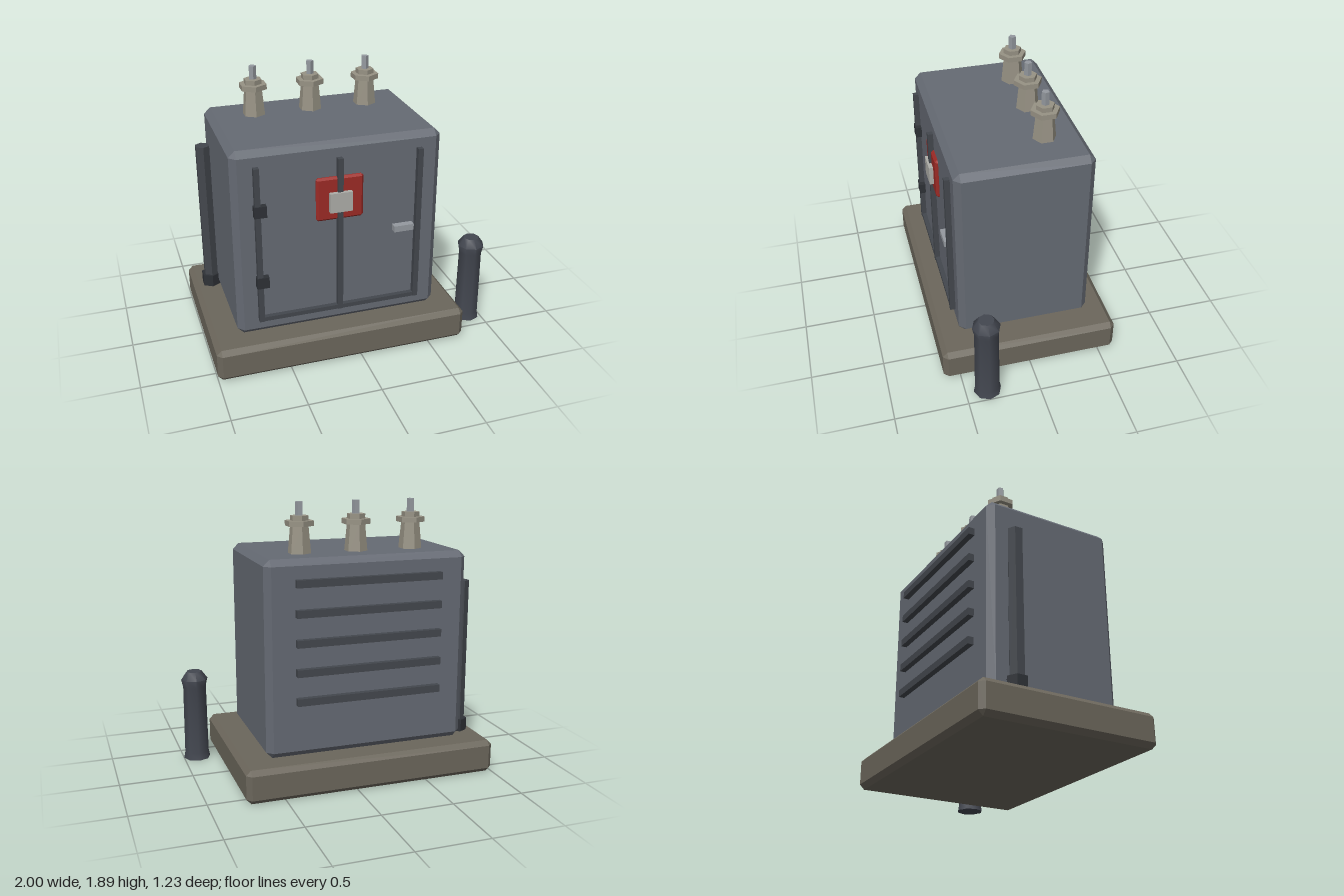
import * as THREE from 'three';
import { ConvexGeometry } from 'three/addons/geometries/ConvexGeometry.js';
import { toCreasedNormals } from 'three/addons/utils/BufferGeometryUtils.js';

const paint = (color) => new THREE.MeshStandardMaterial({ color });
const steel = paint(0x656a73);
const concrete = paint(0x6b665b);
const trim = paint(0x43474d);
const iron = paint(0x2e3136);
const red = paint(0x9c2a25);
const pale = paint(0xadada8);
const metal = paint(0x94999f);
const ceramic = paint(0x979284);
const darkPaint = paint(0x434750);

// Box given by its min and max corners
function box(name, min, max, material) {
  const size = max.map((v, i) => v - min[i]);
  const mesh = new THREE.Mesh(new THREE.BoxGeometry(...size), material);
  mesh.position.set(...max.map((v, i) => (v + min[i]) / 2));
  mesh.name = name;
  return mesh;
}

// Box with every edge cut by a flat chamfer c
function chamferBox(name, min, max, c, material) {
  const mid = max.map((v, i) => (v + min[i]) / 2);
  const half = max.map((v, i) => (v - min[i]) / 2);
  const points = [];
  for (const sx of [-1, 1]) for (const sy of [-1, 1]) for (const sz of [-1, 1]) {
    for (let face = 0; face < 3; face++) {
      const p = half.map((h, i) => (i === face ? h : h - c));
      points.push(new THREE.Vector3(sx * p[0], sy * p[1], sz * p[2]));
    }
  }
  const mesh = new THREE.Mesh(new ConvexGeometry(points), material);
  mesh.position.set(...mid);
  mesh.name = name;
  return mesh;
}

// Upright prism or cone frustum from y0 to y1
function post(name, rTop, rBottom, y0, y1, sides, material) {
  const geo = toCreasedNormals(new THREE.CylinderGeometry(rTop, rBottom, y1 - y0, sides), 0.9);
  const mesh = new THREE.Mesh(geo, material);
  mesh.position.y = (y0 + y1) / 2;
  mesh.name = name;
  return mesh;
}

function createBushing(x) {
  const g = new THREE.Group();
  g.name = 'bushing';
  g.add(
    post('insulatorBody', 0.062, 0.08, 1.54, 1.73, 6, ceramic),
    post('insulatorFlange', 0.097, 0.097, 1.73, 1.765, 6, ceramic),
    post('insulatorCollar', 0.062, 0.062, 1.765, 1.797, 6, ceramic),
    post('terminalRod', 0.026, 0.026, 1.79, 1.887, 5, metal),
  );
  g.position.set(x, 0, -0.2);
  return g;
}

function createBollard() {
  const profile = [[0, 0], [0.095, 0], [0.086, 0.05], [0.082, 0.54], [0.095, 0.595], [0.054, 0.652], [0, 0.652]]
    .map(([r, y]) => new THREE.Vector2(r, y));
  const geo = toCreasedNormals(new THREE.LatheGeometry(profile, 8), 0.85);
  const mesh = new THREE.Mesh(geo, darkPaint);
  mesh.name = 'bollard';
  mesh.position.set(0.905, 0, 0.35);
  return mesh;
}

export function createModel() {
  const model = new THREE.Group();
  model.name = 'transformerCabinet';

  // Base slab and cabinet
  model.add(
    chamferBox('plinth', [-1, 0, -0.615], [0.76, 0.23, 0.615], 0.033, concrete),
    chamferBox('cabinet', [-0.823, 0.23, -0.46], [0.582, 1.55, 0.46], 0.042, steel),
  );

  // Door frame strips on the front
  for (const x of [-0.667, -0.122, 0.423]) {
    model.add(box('doorStrip', [x - 0.018, 0.34, 0.45], [x + 0.018, 1.445, 0.497], trim));
  }
  model.add(box('doorSill', [-0.667, 0.34, 0.45], [0.423, 0.37, 0.493], trim));

  // Hinges, handle and warning plate
  for (const y of [0.637, 1.15]) {
    model.add(box('hinge', [-0.692, y - 0.039, 0.45], [-0.61, y + 0.039, 0.503], iron));
  }
  model.add(
    box('doorHandle', [0.25, 0.87, 0.45], [0.388, 0.913, 0.507], metal),
    chamferBox('warningPanel', [-0.28, 1.015, 0.44], [0.038, 1.317, 0.482], 0.014, red),
    box('warningPlate', [-0.197, 1.08, 0.47], [-0.045, 1.215, 0.511], pale),
  );

  // Cooling louvres on the back
  for (let i = 0; i < 5; i++) {
    const y = 0.617 + i * 0.195;
    model.add(box('louvre', [-0.627, y - 0.025, -0.5], [0.384, y + 0.025, -0.45], trim));
  }

  // Insulated terminals on the roof
  for (const x of [-0.517, -0.121, 0.275]) model.add(createBushing(x));

  // Cable conduit beside the cabinet
  const conduit = new THREE.Group();
  conduit.name = 'conduit';
  conduit.add(
    post('conduitPipe', 0.052, 0.052, 0.23, 1.322, 6, trim),
    post('conduitCollar', 0.07, 0.07, 0.22, 0.317, 6, iron),
  );
  conduit.position.set(-0.87, 0, -0.302);
  model.add(conduit);

  model.add(createBollard());
  return model;
}
